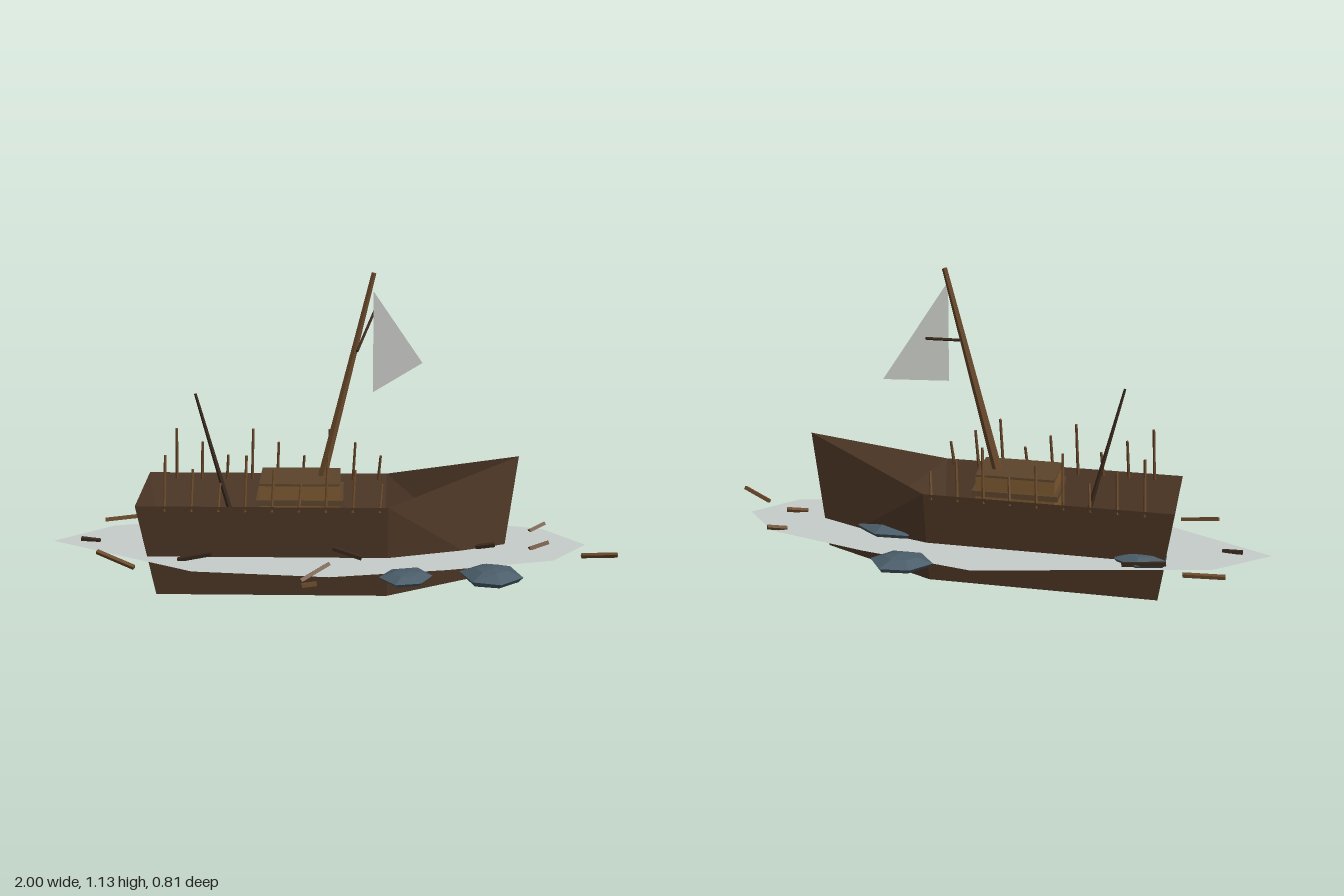
import * as THREE from 'three';

const mat = (name, color, extra = {}) => {
  const m = new THREE.MeshStandardMaterial({ color, flatShading: true, ...extra });
  m.name = name;
  return m;
};
const both = { side: THREE.DoubleSide };

export function createModel() {
  const M = {
    hull: mat('hull wood', 0x553d2a, both),
    spar: mat('spar wood', 0x6b4a2b),
    hatch: mat('hatch wood', 0x7d5830),
    lid: mat('lid wood', 0x5c442c),
    charred: mat('dark wood', 0x3a291d),
    sail: mat('sail cloth', 0xb8bab6, both),
    water: mat('pale ice', 0xc6cdca, both),
    rock: mat('slate rock', 0x4a5d69),
  };
  const root = new THREE.Group();
  root.name = 'shipwreck';

  const add = (name, geo, material, parent = root) => {
    const mesh = new THREE.Mesh(geo, material);
    mesh.name = name;
    parent.add(mesh);
    return mesh;
  };
  const group = (name) => {
    const g = new THREE.Group();
    g.name = name;
    root.add(g);
    return g;
  };
  const surface = (points, faces) => {
    const g = new THREE.BufferGeometry();
    g.setAttribute('position', new THREE.Float32BufferAttribute(points.flat(), 3));
    g.setIndex(faces.flat());
    const flat = g.toNonIndexed();
    flat.computeVertexNormals();
    return flat;
  };
  // Aim a geometry's y axis from a to b
  const aim = (mesh, a, b) => {
    const p = new THREE.Vector3(...a), q = new THREE.Vector3(...b);
    mesh.position.copy(p).add(q).multiplyScalar(0.5);
    mesh.quaternion.setFromUnitVectors(new THREE.Vector3(0, 1, 0), q.sub(p).normalize());
    return mesh;
  };
  const length = (a, b) => Math.hypot(b[0] - a[0], b[1] - a[1], b[2] - a[2]);
  const pole = (name, a, b, r0, r1, material, parent) =>
    aim(add(name, new THREE.CylinderGeometry(r1, r0, length(a, b), 6), material, parent), a, b);

  // Open hull: thin planked shell, pointed and raised at the bow
  add('hull', surface([
    [-0.67, 0.36, 0.18], [-0.62, 0, 0.106], [0.2, 0, 0.106], [0.2, 0.36, 0.18],
    [-0.67, 0.36, -0.18], [-0.62, 0, -0.106], [0.2, 0, -0.106], [0.2, 0.36, -0.18],
    [0.61, 0.05, 0], [0.66, 0.49, 0],
  ], [
    [0, 1, 2, 0, 2, 3], [3, 2, 8, 3, 8, 9],
    [4, 6, 5, 4, 7, 6], [7, 8, 6, 7, 9, 8],
    [1, 5, 6, 1, 6, 2], [2, 6, 8], [0, 4, 5, 0, 5, 1],
  ]), M.hull);

  // Flat sheet around the waterline
  const outline = [
    [-1, 0], [-0.805, -0.155], [0, -0.33], [0.405, -0.25], [0.775, -0.15],
    [0.91, 0], [0.775, 0.15], [0.405, 0.24], [0, 0.31], [-0.47, 0.27],
  ];
  const sheet = new THREE.ShapeGeometry(
    new THREE.Shape(outline.map(([x, z]) => new THREE.Vector2(x, -z))));
  add('waterSheet', sheet.rotateX(-Math.PI / 2).translate(0, 0.158, 0), M.water);

  // Hatch box with lid and lower rim
  const hatch = group('hatch');
  const box = (name, w, h, d, y, m) =>
    add(name, new THREE.BoxGeometry(w, h, d), m, hatch).position.set(-0.108, y, 0);
  box('hatchBox', 0.28, 0.18, 0.18, 0.314, M.hatch);
  box('hatchLid', 0.28, 0.008, 0.18, 0.408, M.lid);
  box('hatchRim', 0.305, 0.02, 0.2, 0.345, M.lid);

  // Masts, yard and torn sail
  pole('mainMast', [-0.042, 0.36, -0.01], [0.146, 1.13, -0.045], 0.018, 0.009, M.spar);
  pole('brokenMast', [-0.355, 0.26, 0], [-0.468, 0.72, 0.031], 0.01, 0.005, M.charred);
  pole('yard', [0.09, 0.868, 0.006], [0.152, 0.948, -0.275], 0.005, 0.005, M.charred);
  add('sail', surface(
    [[0.145, 1.075, 0], [0.145, 0.72, 0], [0.325, 0.775, -0.198]], [[0, 1, 2]]), M.sail);

  // Exposed rib stubs along both rails, in three repeating heights
  const ribs = group('ribs');
  for (let i = 0; i < 9; i++) {
    const x = -0.57 + i * 0.0925, top = [0.537, 0.487, 0.437][i % 3];
    for (const s of [1, -1]) {
      pole('rib', [x, 0.34, s * 0.174], [x + 0.008, top, s * 0.154], 0.006, 0.005, M.spar, ribs);
    }
  }

  // Flat-bottomed faceted rocks: x, z, half width, half depth, height, turn
  const rocks = group('rocks');
  const rings = [[0, 0.85], [0.4, 1], [0.85, 0.5]];
  const rockGeometry = (sx, sz, h, turn, seed) => {
    const n = 6, pts = [], faces = [];
    rings.forEach(([y, r], k) => {
      for (let i = 0; i < n; i++) {
        const a = (i / n) * Math.PI * 2 + turn;
        const q = r * (1 + 0.09 * Math.sin(seed * 3 + i * 2.3 + k * 0.4));
        pts.push([Math.cos(a) * sx * q, y * h, -Math.sin(a) * sz * q]);
      }
    });
    pts.push([0, 0, 0], [0.1 * sx, h, 0.05 * sz]);
    for (let i = 0; i < n; i++) {
      const j = (i + 1) % n;
      for (let k = 0; k < 2; k++) {
        const a = k * n + i, b = k * n + j;
        faces.push([a, b, b + n, a, b + n, a + n]);
      }
      faces.push([3 * n, j, i], [3 * n + 1, 2 * n + i, 2 * n + j]);
    }
    return surface(pts, faces);
  };
  [
    [0.24, -0.33, 0.105, 0.09, 0.04, 0.0], [-0.56, -0.125, 0.1, 0.085, 0.035, 0.4],
    [0.105, -0.015, 0.085, 0.085, 0.035, 0.9], [0.355, -0.05, 0.12, 0.1, 0.048, 0.2],
    [0.26, 0.32, 0.09, 0.08, 0.032, 0.1], [0.545, 0.31, 0.1, 0.098, 0.045, 0.8],
  ].forEach(([x, z, sx, sz, h, turn], i) => {
    add('rock', rockGeometry(sx, sz, h, turn, i), M.rock, rocks).position.set(x, 0.155, z);
  });

  // Floating plank fragments
  const debris = group('debris');
  [
    [[-0.85, 0.16, -0.21], [-0.71, 0.168, -0.237], 0],
    [[-0.9, 0.165, -0.006], [-0.83, 0.16, 0.002], 1],
    [[-0.805, 0.198, 0.196], [-0.67, 0.163, 0.25], 0],
    [[-0.095, 0.16, 0.345], [0, 0.198, 0.287], 0],
    [[0.01, 0.2, 0.155], [0.11, 0.168, 0.165], 1],
    [[-0.09, 0.16, 0.386], [-0.04, 0.165, 0.38], 0],
    [[0.725, 0.16, -0.125], [0.785, 0.176, -0.163], 0],
    [[0.705, 0.16, 0.048], [0.775, 0.172, 0.016], 0],
    [[0.88, 0.16, 0.108], [0.995, 0.185, 0.16], 0],
    [[0.515, 0.165, 0.045], [0.58, 0.18, 0.06], 1],
    [[-0.65, 0.185, -0.2], [-0.5, 0.165, -0.19], 1],
    [[-0.53, 0.16, 0.172], [-0.41, 0.19, 0.188], 1],
  ].forEach(([a, b, dark]) => {
    const geo = new THREE.BoxGeometry(0.013, length(a, b), 0.013);
    aim(add('plank', geo, dark ? M.charred : M.spar, debris), a, b);
  });

  return root;
}
